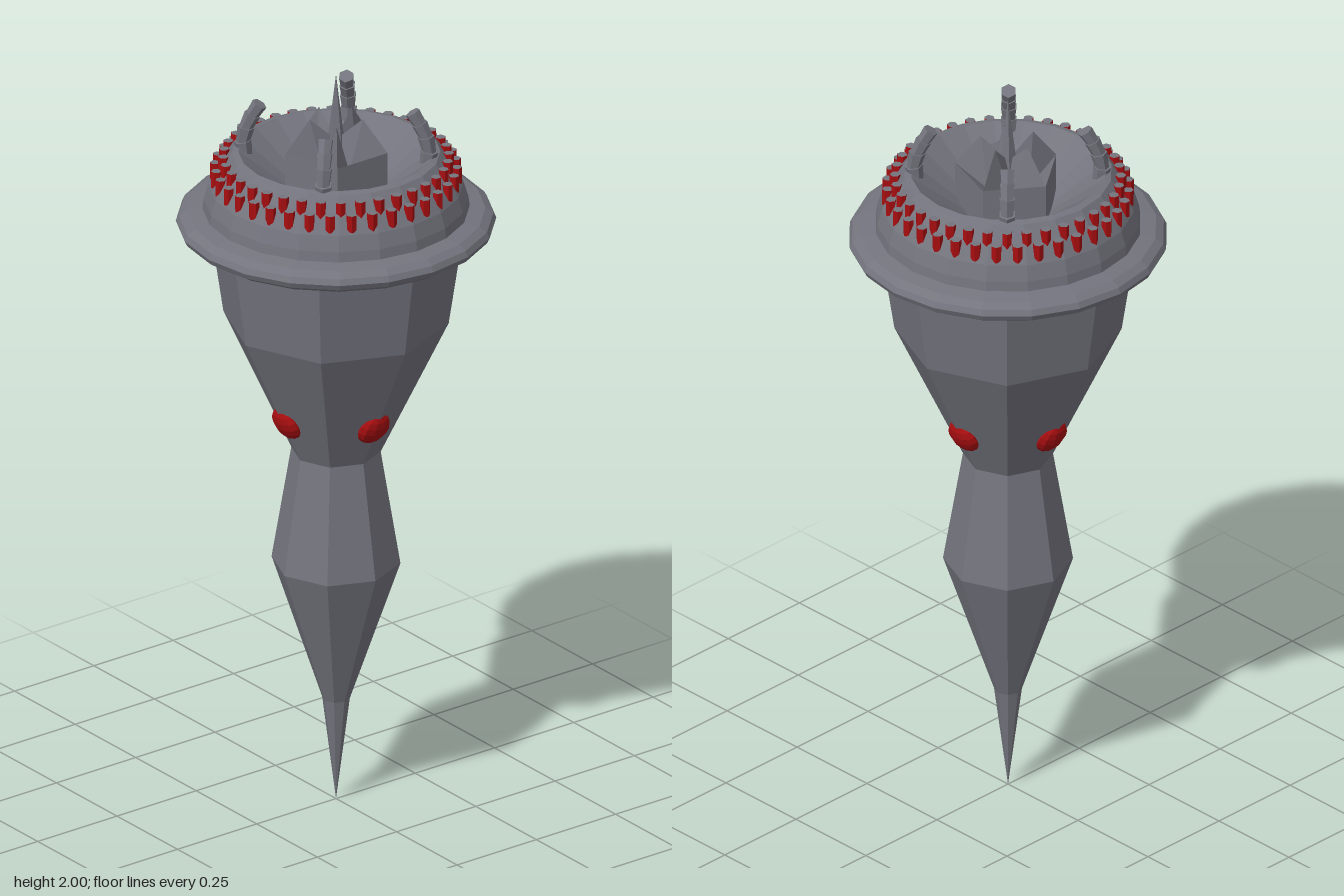
import * as THREE from 'three';

const shell = new THREE.MeshStandardMaterial({ color: 0x74747e });
shell.name = 'slate grey';
const red = new THREE.MeshStandardMaterial({ color: 0xa80e10 });
red.name = 'deep red';
const black = new THREE.MeshStandardMaterial({ color: 0x0a0a0b });
black.name = 'black';

// Faceted mesh: split the faces so each has its own normal
function facet(name, geometry, material) {
  const g = geometry.index ? geometry.toNonIndexed() : geometry;
  g.computeVertexNormals();
  const mesh = new THREE.Mesh(g, material);
  mesh.name = name;
  return mesh;
}

function turned(name, profile, sides, material = shell) {
  const points = profile.map(([r, y]) => new THREE.Vector2(r, y));
  return facet(name, new THREE.LatheGeometry(points, sides), material);
}

// Star-like crystal: five corners, five peaks and valleys between them
function crystalGeometry() {
  const v = [];
  const at = (step, r, y) => {
    const a = Math.PI + step * Math.PI / 5;
    return [r * Math.sin(a), y, r * Math.cos(a)];
  };
  const tri = (...corners) => corners.forEach(c => v.push(...c));
  const centre = [0, 1.82, 0];
  for (let i = 0; i < 10; i += 2) {
    const c0 = at(i, 0.135, 1.8), c1 = at(i + 2, 0.135, 1.8);
    const b0 = at(i, 0.135, 1.66), b1 = at(i + 2, 0.135, 1.66);
    const p0 = at(i, 0.07, 1.885), p1 = at(i + 2, 0.07, 1.885);
    const valley = at(i + 1, 0.055, 1.75);
    tri(b0, b1, c1);
    tri(b0, c1, c0);
    tri(c0, c1, valley);
    tri(c0, valley, p0);
    tri(c1, p1, valley);
    tri(p0, valley, centre);
    tri(valley, p1, centre);
  }
  const g = new THREE.BufferGeometry();
  g.setAttribute('position', new THREE.Float32BufferAttribute(v, 3));
  return g;
}

// Curved claw made of flared, overlapping knuckles
function makeClaw() {
  const claw = new THREE.Group();
  claw.name = 'claw';
  const path = [[0.228, 1.75], [0.236, 1.80], [0.228, 1.84], [0.212, 1.875], [0.194, 1.905]];
  const up = new THREE.Vector3(0, 1, 0);
  for (let i = 0; i < path.length - 1; i++) {
    const a = new THREE.Vector3(0, path[i][1], path[i][0]);
    const b = new THREE.Vector3(0, path[i + 1][1], path[i + 1][0]);
    const dir = b.clone().sub(a);
    const knuckle = facet('knuckle',
      new THREE.CylinderGeometry(0.023 - i * 0.001, 0.017, dir.length() * 1.1, 6), shell);
    knuckle.position.copy(a).add(b).multiplyScalar(0.5);
    knuckle.quaternion.setFromUnitVectors(up, dir.normalize());
    claw.add(knuckle);
  }
  return claw;
}

export function createModel() {
  const model = new THREE.Group();
  model.name = 'spire';

  // Eight-sided body
  model.add(turned('tail', [[0, 0], [0.035, 0.28], [0.163, 0.66], [0.113, 0.965]], 8));
  model.add(turned('hull', [[0.113, 0.965], [0.285, 1.33], [0.325, 1.6]], 8));

  // Twenty-sided brim and hollow crown
  model.add(turned('brim', [[0.33, 1.575], [0.375, 1.572], [0.395, 1.585], [0.402, 1.6],
    [0.395, 1.615], [0.375, 1.628], [0.33, 1.635]], 20));
  model.add(turned('brimUnderside', [[0.28, 1.575], [0.372, 1.57]], 20, black));
  model.add(turned('crown', [[0.337, 1.62], [0.332, 1.66], [0.32, 1.7], [0.296, 1.742],
    [0.262, 1.786], [0.245, 1.79], [0, 1.6]], 20));

  // Two staggered rows of hexagonal studs with red sides
  const studs = new THREE.Group();
  studs.name = 'studs';
  const studGeometry = new THREE.CylinderGeometry(0.0135, 0.0135, 0.045, 6).toNonIndexed();
  [[0.303, 1.728, 0], [0.283, 1.755, 0.5]].forEach(([r, y, shift]) => {
    for (let i = 0; i < 36; i++) {
      const a = (i + shift) * Math.PI / 18;
      const stud = facet('stud', studGeometry, [red, shell, shell]);
      stud.position.set(r * Math.sin(a), y, r * Math.cos(a));
      stud.rotation.y = a;
      studs.add(stud);
    }
  });
  model.add(studs);

  // Four red eyes and four claws
  for (let i = 0; i < 4; i++) {
    const turn = new THREE.Group();
    turn.name = 'quarter';
    turn.rotation.y = i * Math.PI / 2;
    const eye = facet('eye', new THREE.SphereGeometry(0.047, 10, 8), red);
    eye.position.set(0, 1.08, 0.155);
    eye.rotation.x = 0.44;
    eye.scale.z = 0.55;
    const claw = makeClaw();
    claw.rotation.y = Math.PI / 4;
    turn.add(eye, claw);
    model.add(turn);
  }

  // Crystal and central needle
  model.add(facet('crystal', crystalGeometry(), shell));
  const needle = facet('needle', new THREE.ConeGeometry(0.03, 0.25, 5), shell);
  needle.position.y = 1.875;
  model.add(needle);

  return model;
}
